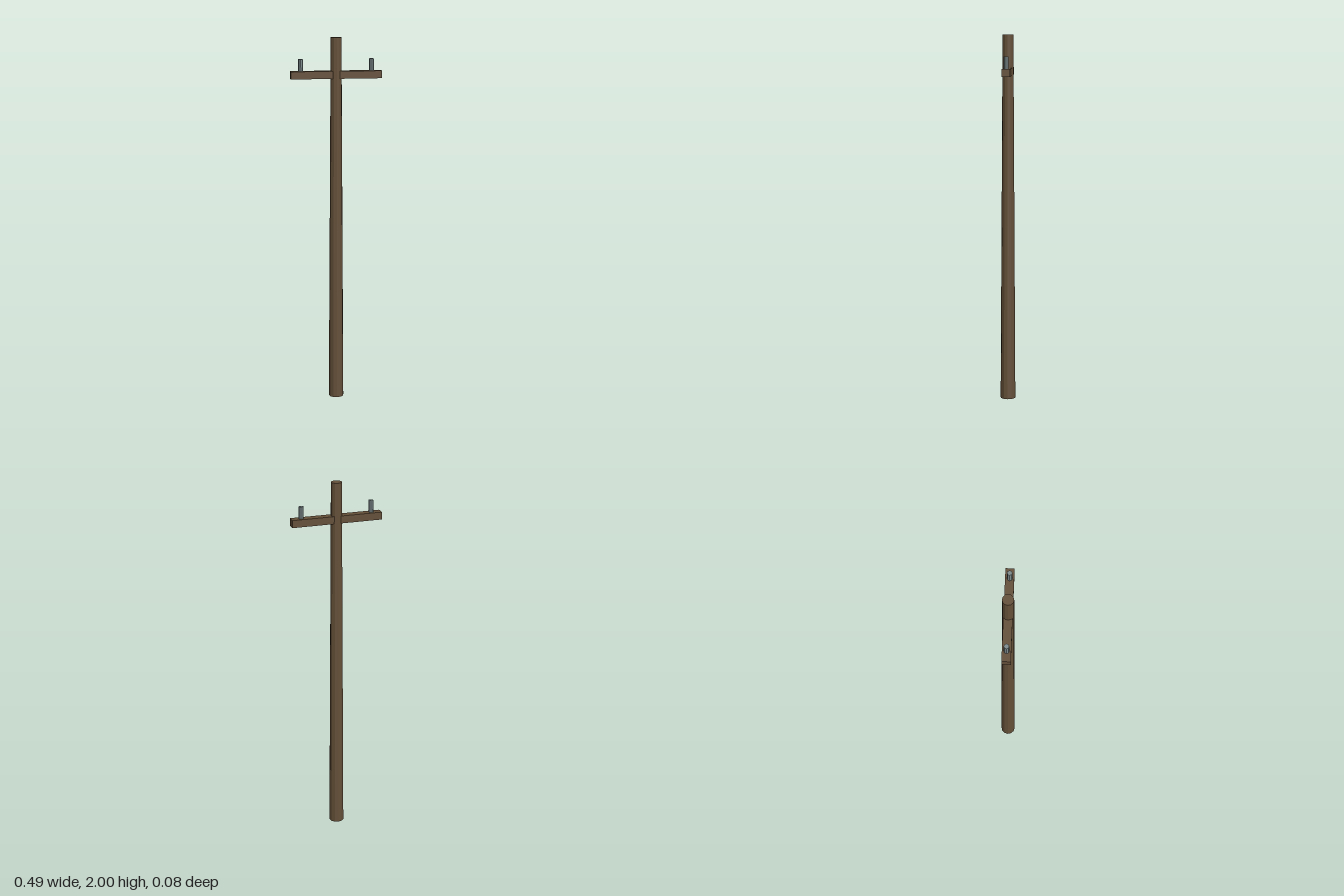
import * as THREE from 'three';

export function createModel() {
  const group = new THREE.Group();
  const wood = new THREE.MeshStandardMaterial({ color: 0x655039, flatShading: true });
  const ceramic = new THREE.MeshStandardMaterial({ color: 0x7f8c8d, flatShading: true });

  const add = (name, geometry, material, x, y) => {
    const mesh = new THREE.Mesh(geometry, material);
    mesh.name = name;
    mesh.position.set(x, y, 0);
    group.add(mesh);
  };

  // Tapered pole
  add('pole', new THREE.CylinderGeometry(0.029, 0.041, 2, 12), wood, 0, 1);

  // Crossarm through the pole
  add('crossarm', new THREE.BoxGeometry(0.488, 0.04, 0.045), wood, 0, 1.803);

  // Insulator pins standing near both ends of the crossarm
  for (const [name, side] of [['leftInsulator', 1], ['rightInsulator', -1]]) {
    add(name, new THREE.CylinderGeometry(0.0133, 0.0133, 0.065, 8), ceramic, side * 0.19, 1.854);
  }

  return group;
}
